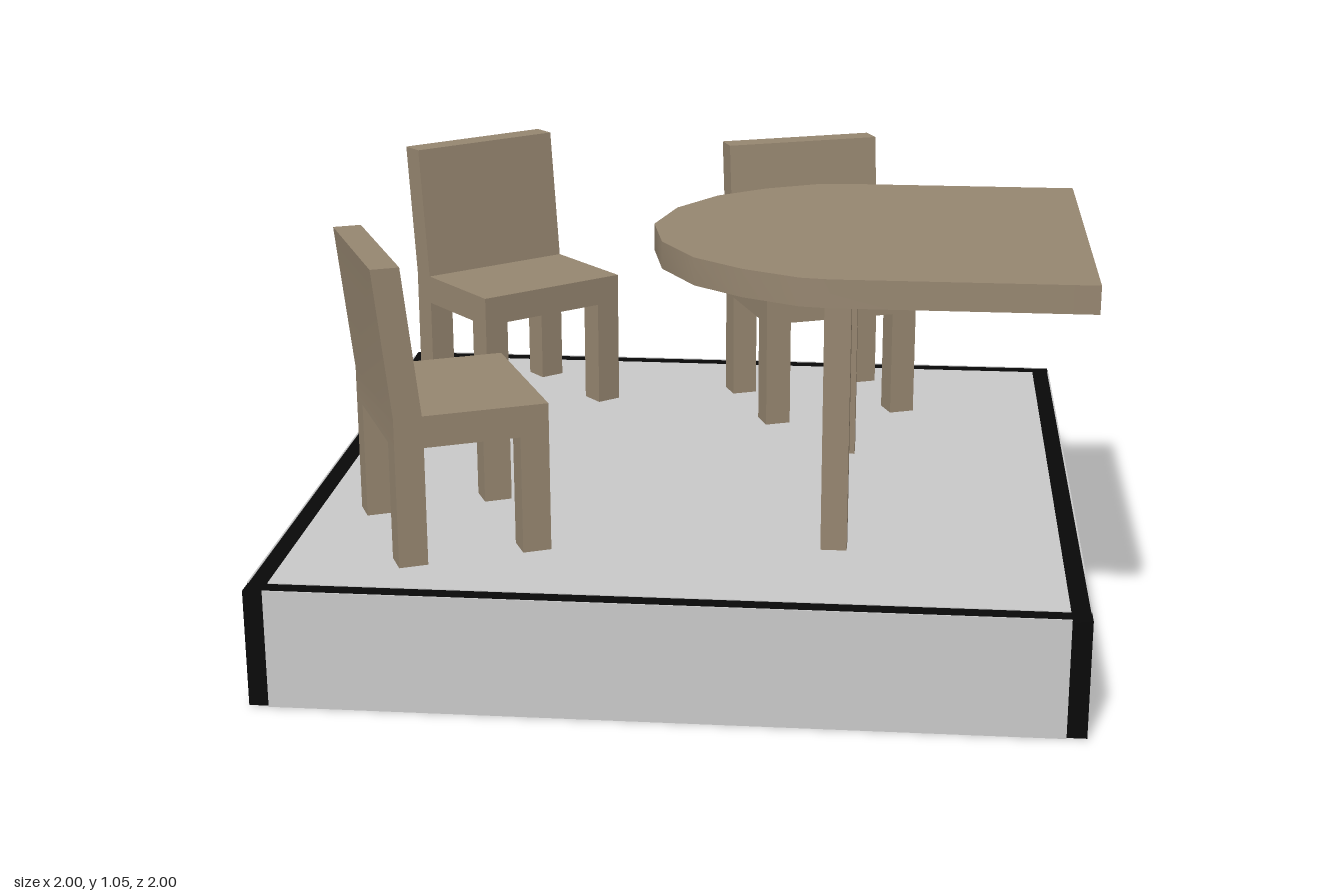
import * as THREE from 'three';
import { toCreasedNormals } from 'three/addons/utils/BufferGeometryUtils.js';

const material = (name, color) => {
  const m = new THREE.MeshStandardMaterial({ color });
  m.name = name;
  return m;
};

export function createModel() {
  const wood = material('wood', 0x968670);
  const grey = material('light grey', 0xc9c9c9);
  const black = material('black', 0x080808);

  const model = new THREE.Group();
  model.name = 'diningSet';

  const add = (parent, name, geometry, mat, x = 0, y = 0, z = 0) => {
    const mesh = new THREE.Mesh(geometry, mat);
    mesh.name = name;
    mesh.position.set(x, y, z);
    parent.add(mesh);
    return mesh;
  };
  const box = (w, h, d) => new THREE.BoxGeometry(w, h, d);
  const extrude = (points, depth) => toCreasedNormals(new THREE.ExtrudeGeometry(
    new THREE.Shape(points.map(([x, y]) => new THREE.Vector2(x, y))),
    { depth, bevelEnabled: false }), 0.6);

  // Platform: black block with a thin grey panel on each face
  const platform = new THREE.Group();
  platform.name = 'platform';
  model.add(platform);
  add(platform, 'platformBlock', box(1.996, 0.296, 1.996), black, 0, 0.15, 0);
  add(platform, 'topPanel', box(1.9, 0.004, 1.9), grey, 0, 0.298, 0);
  add(platform, 'bottomPanel', box(1.9, 0.004, 1.9), grey, 0, 0.002, 0);
  for (const s of [-1, 1]) {
    add(platform, 'sidePanel', box(0.004, 0.3, 1.9), grey, s * 0.998, 0.15, 0);
    add(platform, 'endPanel', box(1.9, 0.3, 0.004), grey, 0, 0.15, s * 0.998);
  }

  // Table: half-oval top, straight along the +x edge, on two legs
  const table = new THREE.Group();
  table.name = 'table';
  table.position.z = 0.195;
  model.add(table);
  const half = [[1, 0.525], [0.37, 0.525], [0.3, 0.515], [0.16, 0.445], [0.035, 0.345], [-0.06, 0.19]];
  const mirrored = half.map(([x, z]) => [x, -z]).reverse();
  const topGeometry = extrude([...half, [-0.1, 0], ...mirrored], 0.07);
  topGeometry.rotateX(Math.PI / 2);
  add(table, 'tableTop', topGeometry, wood, 0, 1.02, 0);
  for (const z of [0.385, -0.35]) add(table, 'tableLeg', box(0.065, 0.65, 0.065), wood, 0.388, 0.625, z);

  // Chairs: side profile (forward is +x) stretched across the width
  const width = 0.456, leg = 0.072;
  const profile = [[0.04, 0.6], [0.423, 0.6], [0.423, 0.68], [0.11, 0.68], [0.07, 1.05], [0, 1.05], [0.04, 0.68]];
  const seatGeometry = extrude(profile, width);
  seatGeometry.translate(0, 0, -width / 2);
  const legGeometry = box(leg, 0.3, leg);

  const addChair = (name, x, z, angle) => {
    const chair = new THREE.Group();
    chair.name = name;
    chair.position.set(x, 0, z);
    chair.rotation.y = angle;
    model.add(chair);
    add(chair, 'seatAndBack', seatGeometry, wood);
    for (const side of [-1, 1]) {
      const legZ = side * (width - leg) / 2;
      add(chair, 'backLeg', legGeometry, wood, 0.04 + leg / 2, 0.45, legZ);
      add(chair, 'frontLeg', legGeometry, wood, 0.423 - leg / 2, 0.45, legZ);
    }
  };
  addChair('frontChair', -0.788, 0.638, 0.429);
  addChair('cornerChair', -0.748, -0.738, -0.843);
  addChair('backChair', 0.21, -0.835, -1.183);

  return model;
}
